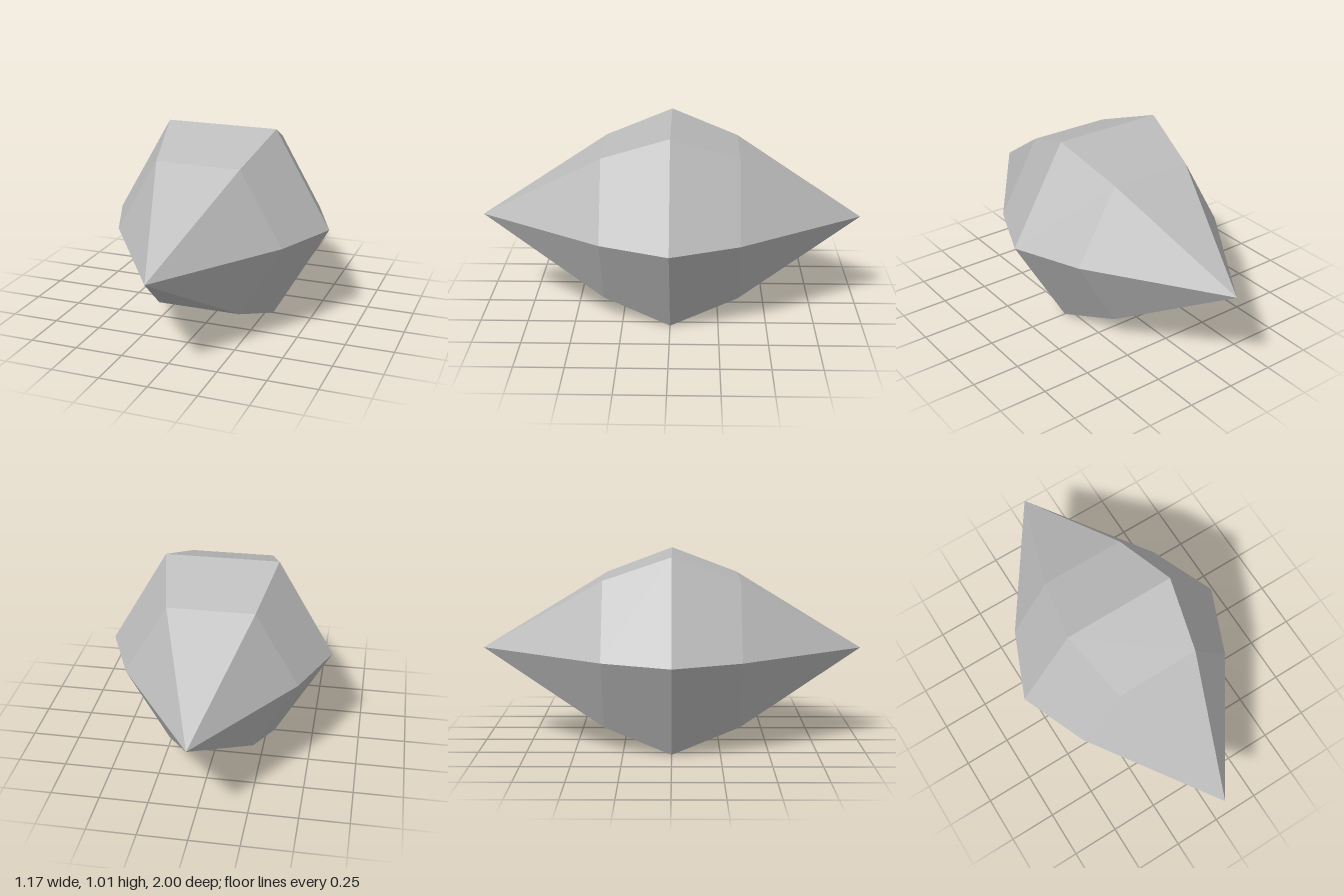
import * as THREE from 'three';

const RADIUS = 0.585; // hexagon corner radius at the girdle
const CENTRE_Y = RADIUS * Math.sin(Math.PI / 3); // flat side rests on y = 0

export function createModel() {
  const group = new THREE.Group();
  group.name = 'crystal';

  const stoneGrey = new THREE.MeshStandardMaterial({ color: 0xbcbcbc, flatShading: true });
  stoneGrey.name = 'stoneGrey';

  // Six-sided profile: point, shoulder, girdle, shoulder, point
  const profile = [[0, -1], [0.44, -0.35], [RADIUS, 0], [0.44, 0.35], [0, 1]]
    .map(([r, h]) => new THREE.Vector2(r, h));

  // Corners on the x axis, long axis laid along z
  const geometry = new THREE.LatheGeometry(profile, 6, Math.PI / 6);
  geometry.rotateX(Math.PI / 2);
  geometry.translate(0, CENTRE_Y, 0);

  const body = new THREE.Mesh(geometry, stoneGrey);
  body.name = 'crystalBody';
  group.add(body);
  return group;
}
